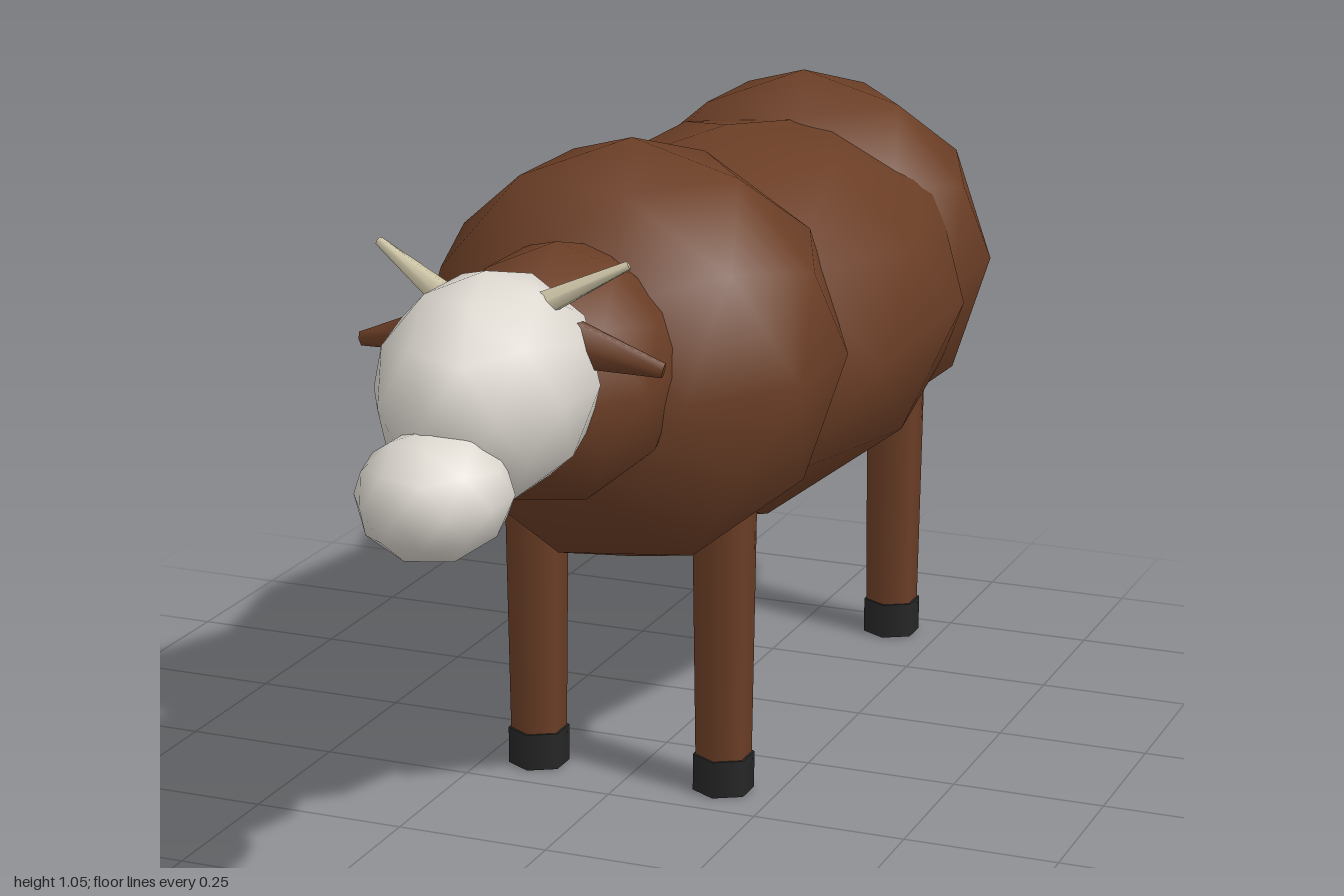
import * as THREE from 'three';

export function createModel() {
  const model = new THREE.Group();
  const mat = (name, color) => {
    const m = new THREE.MeshStandardMaterial({ color });
    m.name = name;
    return m;
  };
  const brown = mat('brown hide', 0x6b3e26);
  const white = mat('white face', 0xddd8d0);
  const cream = mat('cream horn', 0xcfc6a8);
  const dark = mat('dark hoof', 0x262626);

  // Smooth 42-point ball with one of its corners straight up
  const ball = new THREE.IcosahedronGeometry(1, 1);
  ball.rotateZ(-Math.atan(2 / (1 + Math.sqrt(5))));

  function add(name, geometry, material) {
    const mesh = new THREE.Mesh(geometry, material);
    mesh.name = name;
    model.add(mesh);
    return mesh;
  }

  function blob(name, material, centre, radii) {
    const mesh = add(name, ball, material);
    mesh.position.set(...centre);
    mesh.scale.set(...radii);
  }

  // Six-sided tapered rod from point a (radius ra) to point b (radius rb)
  function rod(name, material, a, b, ra, rb) {
    const from = new THREE.Vector3(...a);
    const to = new THREE.Vector3(...b);
    const dir = to.clone().sub(from);
    const mesh = add(name, new THREE.CylinderGeometry(rb, ra, dir.length(), 6), material);
    mesh.position.copy(from).add(to).multiplyScalar(0.5);
    mesh.quaternion.setFromUnitVectors(new THREE.Vector3(0, 1, 0), dir.normalize());
    return mesh;
  }

  // Body, neck and head
  blob('belly', brown, [0, 0.675, -0.26], [0.368, 0.32, 0.68]);
  blob('shoulders', brown, [0, 0.712, 0.145], [0.34, 0.342, 0.34]);
  blob('rump', brown, [0, 0.69, -0.63], [0.33, 0.33, 0.33]);
  blob('neck', brown, [0, 0.753, 0.44], [0.187, 0.201, 0.24]);
  blob('head', white, [0, 0.795, 0.69], [0.158, 0.172, 0.21]);
  blob('muzzle', white, [0, 0.684, 0.872], [0.113, 0.097, 0.128]);

  for (const [side, s] of [['left', 1], ['right', -1]]) {
    // Legs with hooves
    for (const [end, z] of [['front', 0.157], ['rear', -0.675]]) {
      const x = s * 0.162;
      rod(`${side} ${end} leg`, brown, [x, 0, z], [x, 0.5, z], 0.045, 0.052);
      rod(`${side} ${end} hoof`, dark, [x, 0.001, z], [x, 0.062, z], 0.05, 0.05);
    }
    // Ears and horns
    const ear = rod(`${side} ear`, brown, [s * 0.1, 0.855, 0.625], [s * 0.242, 0.822, 0.608], 0.04, 0.012);
    ear.scale.z = 0.7;
    rod(`${side} horn`, cream, [s * 0.07, 0.915, 0.672], [s * 0.198, 0.98, 0.632], 0.021, 0.007);
  }

  // Tail
  rod('tail', brown, [0, 0.81, -0.927], [0, 0.375, -0.987], 0.018, 0.013);

  return model;
}
